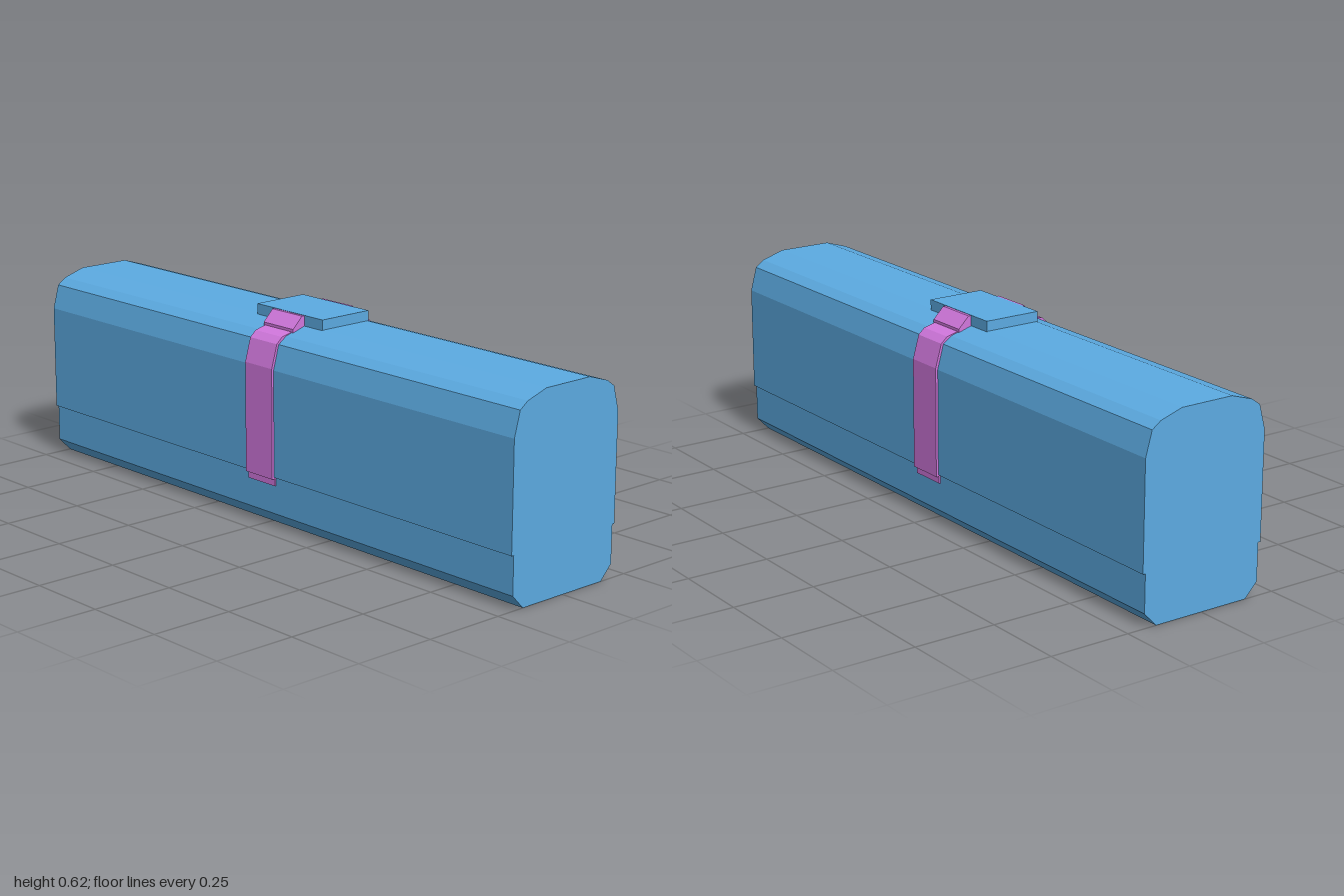
import * as THREE from 'three';

const blue = new THREE.MeshStandardMaterial({ color: 0x5cabe2 });
blue.name = 'blue shell';
const pink = new THREE.MeshStandardMaterial({ color: 0xd278de });
pink.name = 'pink strap';

// Mirrors a half section of [z, y] points, listed bottom to top, and extrudes it along x
function bar(name, half, length, material) {
  const points = [...half, ...half.map(([z, y]) => [-z, y]).reverse()];
  const shape = new THREE.Shape(points.map(([z, y]) => new THREE.Vector2(z, y)));
  const geometry = new THREE.ExtrudeGeometry(shape, { depth: length, bevelEnabled: false });
  geometry.translate(0, 0, -length / 2).rotateY(Math.PI / 2);
  const mesh = new THREE.Mesh(geometry, material);
  mesh.name = name;
  return mesh;
}

export function createModel() {
  const model = new THREE.Group();
  model.name = 'case';

  // Lower tray with chamfered bottom edges
  model.add(bar('tray', [[0.155, 0], [0.195, 0.042], [0.195, 0.155]], 2, blue));

  // Slightly wider lid with faceted shoulders
  model.add(bar('lid', [
    [0.203, 0.155], [0.203, 0.475], [0.183, 0.548], [0.155, 0.568], [0.085, 0.59],
  ], 2, blue));

  // Strap over the lid, its lower tabs and the raised band at the top
  model.add(bar('strapTabs', [[0.2, 0.128], [0.2, 0.152]], 0.116, pink));
  model.add(bar('strap', [
    [0.21, 0.15], [0.21, 0.48], [0.19, 0.55], [0.17, 0.568], [0.133, 0.577],
  ], 0.116, pink));
  model.add(bar('strapTop', [
    [0.133, 0.57], [0.133, 0.585], [0.099, 0.619],
  ], 0.128, pink));

  // Flat plate on top of the lid
  const plate = new THREE.Mesh(new THREE.BoxGeometry(0.284, 0.04, 0.18), blue);
  plate.name = 'topPlate';
  plate.position.y = 0.6;
  model.add(plate);

  return model;
}
